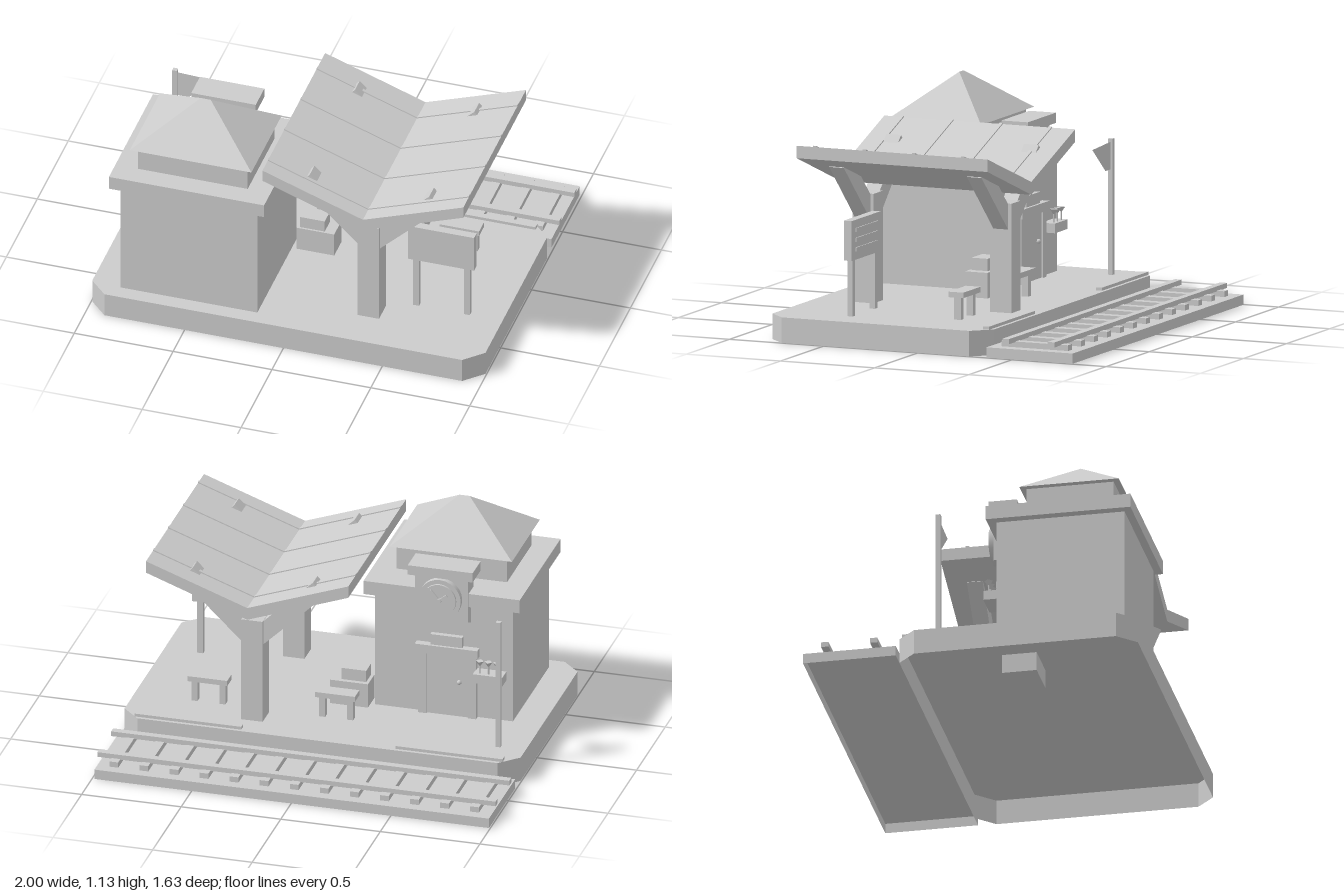
import * as THREE from 'three';

const grey = new THREE.MeshStandardMaterial({ color: 0xcccccc, side: THREE.DoubleSide });
grey.name = 'plain grey';

export function createModel() {
  const root = new THREE.Group();
  root.name = 'railwayStation';

  const add = (name, geometry, parent = root) => {
    const mesh = new THREE.Mesh(geometry, grey);
    mesh.name = name;
    parent.add(mesh);
    return mesh;
  };
  const group = (name) => {
    const g = new THREE.Group();
    g.name = name;
    root.add(g);
    return g;
  };
  // box from its limits on each axis
  const box = (name, x0, x1, y0, y1, z0, z1, parent = root) =>
    add(name, new THREE.BoxGeometry(x1 - x0, y1 - y0, z1 - z0)
      .translate((x0 + x1) / 2, (y0 + y1) / 2, (z0 + z1) / 2), parent);
  const shapeOf = (points) => new THREE.Shape(points.map(([x, y]) => new THREE.Vector2(x, y)));
  // outline in x and y, extruded from z0 to z1
  const prism = (name, points, z0, z1, parent = root) =>
    add(name, new THREE.ExtrudeGeometry(shapeOf(points),
      { depth: z1 - z0, bevelEnabled: false }).translate(0, 0, z0), parent);
  // hollow slab without a bottom: walls and top over a convex outline in x and z
  const shell = (name, outline, h, parent = root) => {
    const pos = [];
    outline.forEach(([ax, az], i) => {
      const [bx, bz] = outline[(i + 1) % outline.length];
      const [ox, oz] = outline[0];
      pos.push(ax, 0, az, bx, 0, bz, bx, h, bz, ax, 0, az, bx, h, bz, ax, h, az);
      if (i > 0 && i < outline.length - 1) pos.push(ox, h, oz, ax, h, az, bx, h, bz);
    });
    const g = new THREE.BufferGeometry();
    g.setAttribute('position', new THREE.Float32BufferAttribute(pos, 3));
    g.computeVertexNormals();
    return add(name, g, parent);
  };

  // platform with cut corners
  const c = 0.09, x0 = -0.995, x1 = 0.994, z0 = -0.36, z1 = 0.815;
  shell('platform', [
    [x0 + c, z1], [x1 - c, z1], [x1, z1 - c], [x1, z0 + c],
    [x1 - c, z0], [x0 + c, z0], [x0, z0 + c], [x0, z1 - c],
  ], 0.125);
  box('edgeStrip', -0.925, -0.387, 0.125, 0.14, -0.343, -0.312);
  box('edgeStrip', 0.387, 0.922, 0.125, 0.14, -0.343, -0.312);

  // track
  const track = group('track');
  shell('trackBed', [[-0.993, z0], [0.988, z0], [0.988, -0.817], [-0.993, -0.817]], 0.05, track);
  for (let i = 0; i < 13; i++) {
    const x = -0.906 + i * 0.151;
    box('sleeper', x - 0.022, x + 0.022, 0.05, 0.078, -0.765, -0.411, track);
  }
  for (const z of [-0.708, -0.467])
    box('rail', -1, 1, 0.075, 0.1, z - 0.018, z + 0.018, track);

  // station building
  const house = group('stationHouse');
  box('walls', -0.848, -0.156, 0.125, 0.73, 0.108, 0.738, house);
  box('flatRoof', -0.895, -0.11, 0.73, 0.8, 0.063, 0.776, house);
  box('upperStorey', -0.78, -0.226, 0.8, 0.93, 0.24, 0.67, house);
  // hipped roof: box whose top is squeezed to a short ridge
  const hip = new THREE.BoxGeometry(0.615, 0.203, 0.49).toNonIndexed();
  const p = hip.attributes.position;
  for (let i = 0; i < p.count; i++)
    if (p.getY(i) > 0) { p.setX(i, Math.sign(p.getX(i)) * 0.025); p.setZ(i, 0); }
  hip.computeVertexNormals();
  add('hippedRoof', hip.translate(-0.505, 1.0275, 0.457), house);

  // door on the track side, its block sunk into wall and platform
  box('door', -0.63, -0.42, 0.03, 0.45, 0.09, 0.26, house);
  for (const x of [-0.65, -0.4])
    box('doorJamb', x - 0.02, x + 0.02, 0.125, 0.45, 0.08, 0.11, house);
  box('doorLintel', -0.68, -0.365, 0.45, 0.495, 0.07, 0.11, house);
  box('doorPlaque', -0.6, -0.44, 0.495, 0.55, 0.083, 0.11, house);
  add('doorHandle', new THREE.SphereGeometry(0.012, 8, 6).translate(-0.585, 0.31, 0.083), house);

  // planter with flowers
  box('planter', -0.815, -0.667, 0.34, 0.387, 0.035, 0.11, house);
  for (let i = 0; i < 3; i++) {
    const x = -0.783 + i * 0.043;
    add('flowerStem', new THREE.CylinderGeometry(0.004, 0.004, 0.05, 5).translate(x, 0.405, 0.055), house);
    add('flower', new THREE.ConeGeometry(0.021, 0.03, 4).rotateX(Math.PI).translate(x, 0.438, 0.055), house);
  }

  // clock facing the track
  const clock = group('stationClock');
  box('clockCase', -0.638, -0.372, 0.63, 0.88, 0.05, 0.15, clock);
  box('clockCap', -0.668, -0.342, 0.88, 0.93, 0.03, 0.17, clock);
  const dial = (name, r, za, zb) => add(name, new THREE.CylinderGeometry(r, r, zb - za, 24)
    .rotateX(Math.PI / 2).translate(-0.505, 0.77, (za + zb) / 2), clock);
  dial('clockRim', 0.105, 0.023, 0.05);
  dial('clockFace', 0.083, 0.013, 0.03);
  dial('clockHub', 0.012, 0, 0.02);
  const hand = (length, angle) => add('clockHand', new THREE.BoxGeometry(0.012, length, 0.008)
    .translate(0, length / 2, 0).rotateZ(angle).translate(-0.505, 0.77, 0.009), clock);
  hand(0.05, 0.9);
  hand(0.068, -0.7);

  // flag on a pole
  box('flagPole', -0.87, -0.846, 0.125, 0.79, -0.188, -0.165);
  add('flag', new THREE.ShapeGeometry(shapeOf(
    [[-0.848, 0.64], [-0.79, 0.64], [-0.638, 0.765], [-0.848, 0.775]])).translate(0, 0, -0.177));

  // butterfly canopy
  const canopy = group('canopy');
  const mid = 0.366, half = 0.508;
  prism('canopyRoof', [
    [mid - half, 0.887], [mid, 0.702], [mid + half, 0.887],
    [mid + half, 0.948], [mid, 0.765], [mid - half, 0.948],
  ], -0.313, 0.7, canopy);
  for (const z of [-0.182, 0.08, 0.342, 0.605])
    prism('roofRib', [
      [mid - half, 0.94], [mid, 0.757], [mid + half, 0.94],
      [mid + half, 0.954], [mid, 0.771], [mid - half, 0.954],
    ], z - 0.009, z + 0.009, canopy);
  for (const z of [0.556, -0.175]) {
    box('canopyPost', mid - 0.054, mid + 0.054, 0.125, 0.66, z - 0.056, z + 0.056, canopy);
    for (const s of [-1, 1]) {
      const brace = [[0.03, 0.51], [0.362, 0.83], [0.302, 0.895], [0.01, 0.615]]
        .map(([x, y]) => [mid + s * x, y]);
      prism('canopyBrace', brace, z - 0.039, z + 0.039, canopy);
    }
  }

  // notice board with paper strips on its back
  const board = group('noticeBoard');
  box('boardPanel', 0.519, 0.853, 0.4, 0.595, 0.418, 0.46, board);
  for (const y of [0.45, 0.497, 0.545])
    box('boardStrip', 0.56, 0.81, y - 0.01, y + 0.01, 0.413, 0.418, board);
  for (const x of [0.557, 0.814])
    box('boardLeg', x - 0.015, x + 0.015, 0.125, 0.4, 0.424, 0.452, board);

  // benches
  for (const x of [-0.018, 0.623]) {
    const bench = group('bench');
    box('benchSeat', x - 0.1, x + 0.1, 0.235, 0.262, -0.115, -0.037, bench);
    for (const s of [-0.07, 0.07])
      box('benchLeg', x + s - 0.015, x + s + 0.015, 0.125, 0.235, -0.095, -0.06, bench);
  }

  // stacked crates
  box('lowerCrate', -0.133, 0.058, 0.125, 0.25, 0.061, 0.18);
  box('upperCrate', -0.118, 0.007, 0.25, 0.31, 0.083, 0.17);

  return root;
}
